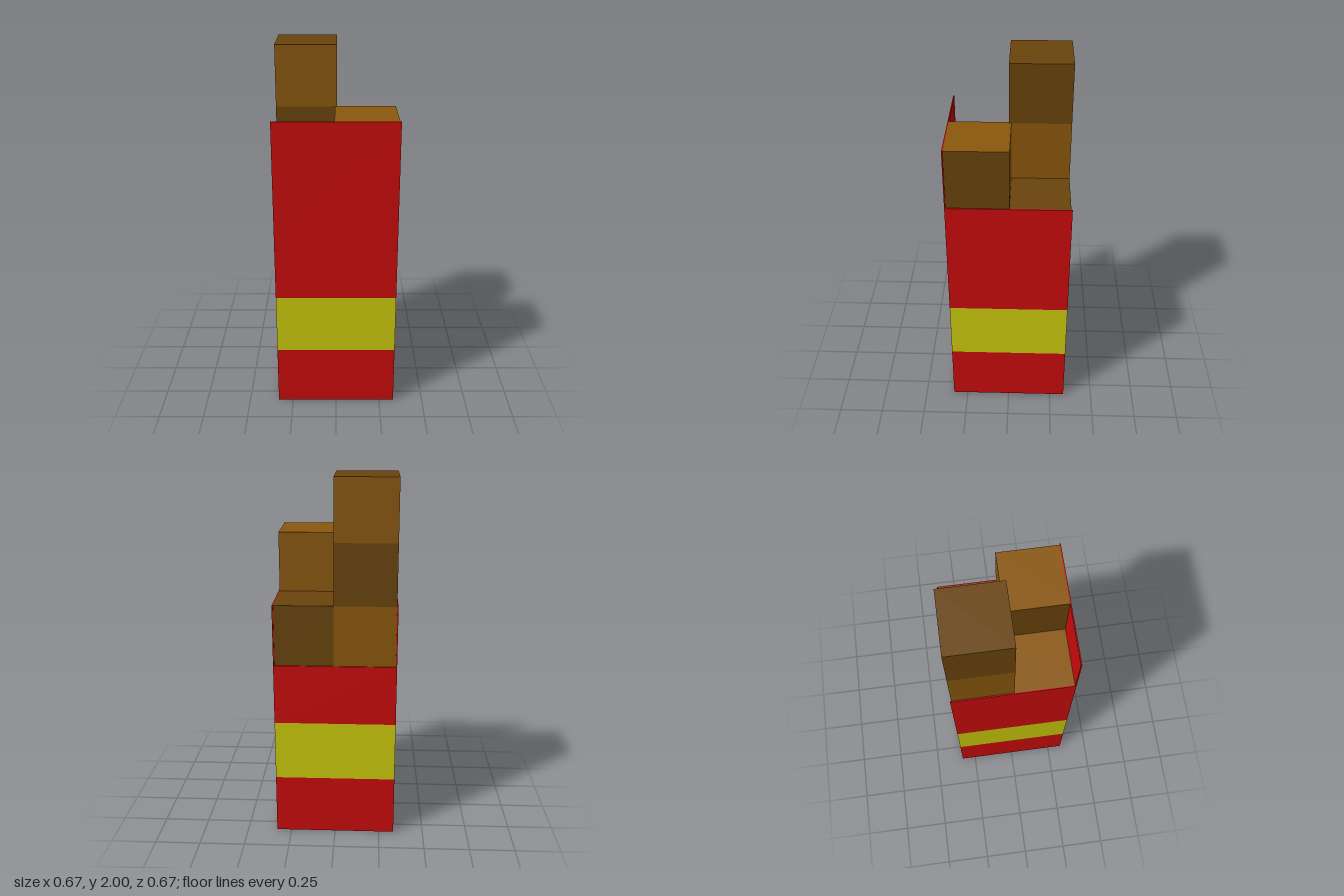
import * as THREE from 'three';

const U = 1 / 3; // one block
const H = U;     // half width of the wrapper
const T = 0.0065; // wrapper thickness

function material(name, color) {
  const m = new THREE.MeshStandardMaterial({ color });
  m.name = name;
  return m;
}

export function createModel() {
  const model = new THREE.Group();
  model.name = 'wrappedBlocks';
  const red = material('red', 0xcc0c0c);
  const yellow = material('yellow', 0xcccc0c);
  const light = material('lightBrown', 0x8c590c);
  const dark = material('darkBrown', 0x6b450c);

  // Box given by its min and max corners
  function box(name, mat, [x0, y0, z0], [x1, y1, z1]) {
    const mesh = new THREE.Mesh(new THREE.BoxGeometry(x1 - x0, y1 - y0, z1 - z0), mat);
    mesh.position.set((x0 + x1) / 2, (y0 + y1) / 2, (z0 + z1) / 2);
    mesh.name = name;
    model.add(mesh);
  }

  // Closed lower wrapper with its coloured band
  box('wrapperBase', red, [-H, 0, -H], [H, U, H]);
  box('wrapperBand', yellow, [-H, U, -H], [H, 2 * U, H]);
  box('wrapperMiddle', red, [-H, 2 * U, -H], [H, 3 * U, H]);

  // Thin upper walls: tall front, lower sides, open back
  box('wrapperFront', red, [-H, 3 * U, H - T], [H, 5 * U, H]);
  box('wrapperRight', red, [H - T, 3 * U, -H], [H, 4 * U, H - T]);
  box('wrapperLeft', red, [-H, 3 * U, -H], [-H + T, 4 * U, H - T]);

  // Brown blocks in four columns of different heights; face shades alternate
  const columns = [
    { x: 0, z: 0, top: 6 },
    { x: 1, z: 0, top: 4 },
    { x: 1, z: 1, top: 5 },
    { x: 0, z: 1, top: 4 },
  ];
  for (const { x, z, top } of columns) {
    for (let y = 3; y < top; y++) {
      const side = (z + y) % 2 ? dark : light;
      const face = (x + y) % 2 ? light : dark;
      const cap = z ? light : dark;
      const x0 = x ? H - T - U : -H + T;
      const z0 = z ? H - T - U : -H + T;
      box('block', [side, side, cap, cap, face, face],
        [x0, y * U, z0], [x0 + U, (y + 1) * U, z0 + U]);
    }
  }
  return model;
}
